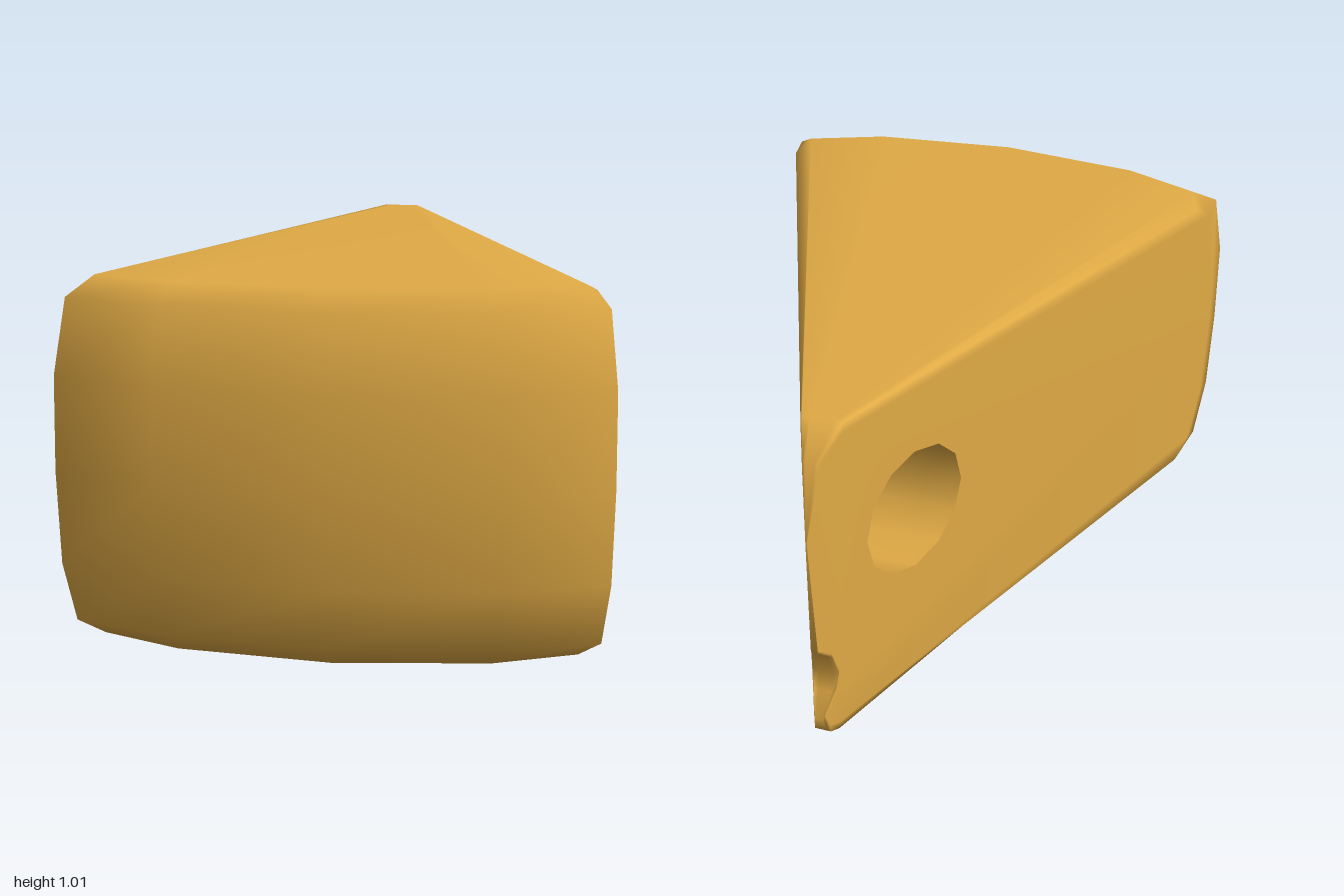
import * as THREE from 'three';
import { mergeVertices } from 'three/addons/utils/BufferGeometryUtils.js';

const HOLE = { z: -0.607, y: 0.585, rz: 0.183, ry: 0.195 };

// Side outline as [z, y]: rounded rind at the front, bitten notch low on the tip
const OUTLINE = [
  [0.87, 0], [0.935, 0.06], [0.985, 0.24], [0.995, 0.5], [0.985, 0.76], [0.93, 0.96], [0.86, 1.01],
  [-0.86, 1.01], [-0.95, 0.94], [-1, 0.72], [-0.98, 0.33], [-0.93, 0.28],
  [-0.905, 0.2], [-0.92, 0.14], [-0.965, 0.07], [-0.945, 0.015], [-0.91, 0],
];

// Stations across the width, from one cut face to the other
const STATIONS = [-1, -0.97, -0.57, 0, 0.57, 0.97, 1];

function wedgeGeometry() {
  const shape = new THREE.Shape(OUTLINE.map(([z, y]) => new THREE.Vector2(-z, y)));
  const hole = new THREE.Path();
  // wound against the outline so the tunnel walls face inwards
  hole.absellipse(-HOLE.z, HOLE.y, HOLE.rz, HOLE.ry, 0, Math.PI * 2, false);
  shape.holes.push(hole);

  const steps = STATIONS.length - 1;
  const geo = new THREE.ExtrudeGeometry(shape, { depth: 1, steps, bevelEnabled: false, curveSegments: 6 });
  const pos = geo.attributes.position;
  const uv = geo.attributes.uv;
  const capCount = geo.groups[0].count;

  for (let i = 0; i < pos.count; i++) {
    let z = -pos.getX(i);
    let y = pos.getY(i);
    let s = STATIONS[Math.round(pos.getZ(i) * steps)];
    const onHole = Math.hypot(z - HOLE.z, y - HOLE.y) < 0.25;
    if (z > 0.5) z -= 0.15 * s * s; // curved rind
    if (Math.abs(s) === 1 && !onHole) { // softened rim of the cut faces
      y = 0.505 + (y - 0.505) * 0.95;
      if (z > 0.5) z -= 0.065;
    } else if (Math.abs(s) === 0.97 && (y < 0.01 || y > 1)) { // softened top and bottom edges
      s *= 0.95;
    }
    pos.setXYZ(i, s * (0.41 * (z + 1) + 0.002), y, z); // taper to the tip
    uv.setXY(i, onHole && i >= capCount ? 1 : 0, 0); // keeps the tunnel's edge sharp
  }

  // Weld for smooth normals everywhere except at the tunnel rim
  geo.deleteAttribute('normal');
  geo.clearGroups();
  const welded = mergeVertices(geo, 1e-4);
  welded.computeVertexNormals();
  return welded;
}

export function createModel() {
  const group = new THREE.Group();
  group.name = 'cheeseWedge';
  const cheese = new THREE.MeshStandardMaterial({ color: 0xe0aa45 });
  cheese.name = 'cheese yellow';
  const wedge = new THREE.Mesh(wedgeGeometry(), cheese);
  wedge.name = 'wedge';
  group.add(wedge);
  return group;
}
